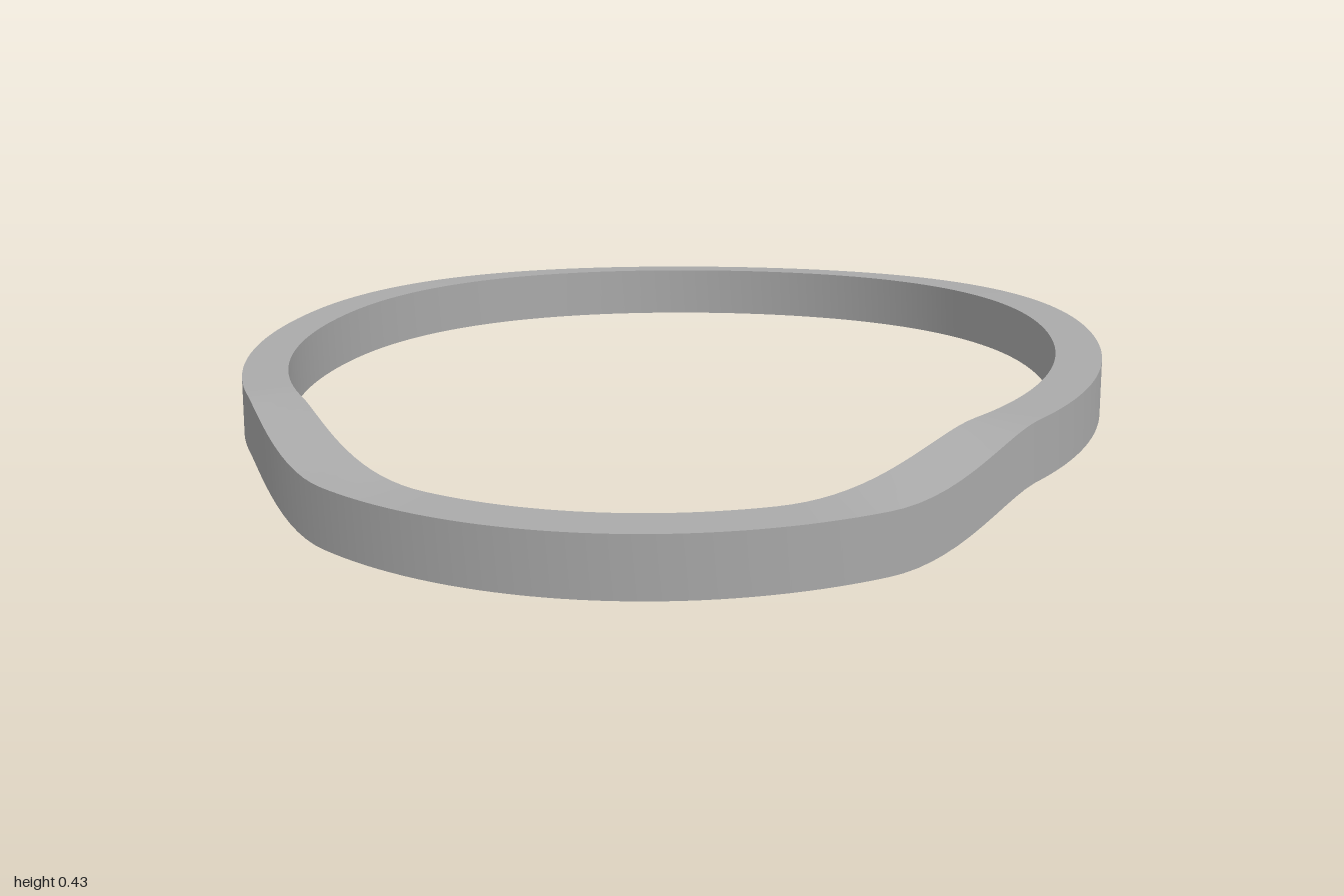
import * as THREE from 'three';
import { toCreasedNormals } from 'three/addons/utils/BufferGeometryUtils.js';

// Height of the underside at a given depth: a gentle rise to the back, a step down at the front
function underside(z) {
  const step = 0.093 * THREE.MathUtils.smoothstep(z, 0.55, 0.83);
  const ease = 0.073 * Math.max(0, -z - 0.2) ** 2;
  return 0.22 - 0.127 * z - step - ease;
}

export function createModel() {
  const group = new THREE.Group();
  group.name = 'wavyRing';

  const grey = new THREE.MeshStandardMaterial({ color: 0xa8a8a8 });
  grey.name = 'grey';

  // Rectangular band section, turned into a ring
  const section = [[0.898, 0], [1, 0], [1, 0.126], [0.898, 0.126], [0.898, 0]]
    .map(([x, y]) => new THREE.Vector2(x, y));
  const ring = new THREE.LatheGeometry(section, 192);

  // Bend the ring up and down along its depth
  const pos = ring.attributes.position;
  for (let i = 0; i < pos.count; i++) {
    pos.setY(i, pos.getY(i) + underside(pos.getZ(i)));
  }

  const band = new THREE.Mesh(toCreasedNormals(ring, 0.7), grey);
  band.name = 'band';
  group.add(band);
  return group;
}
